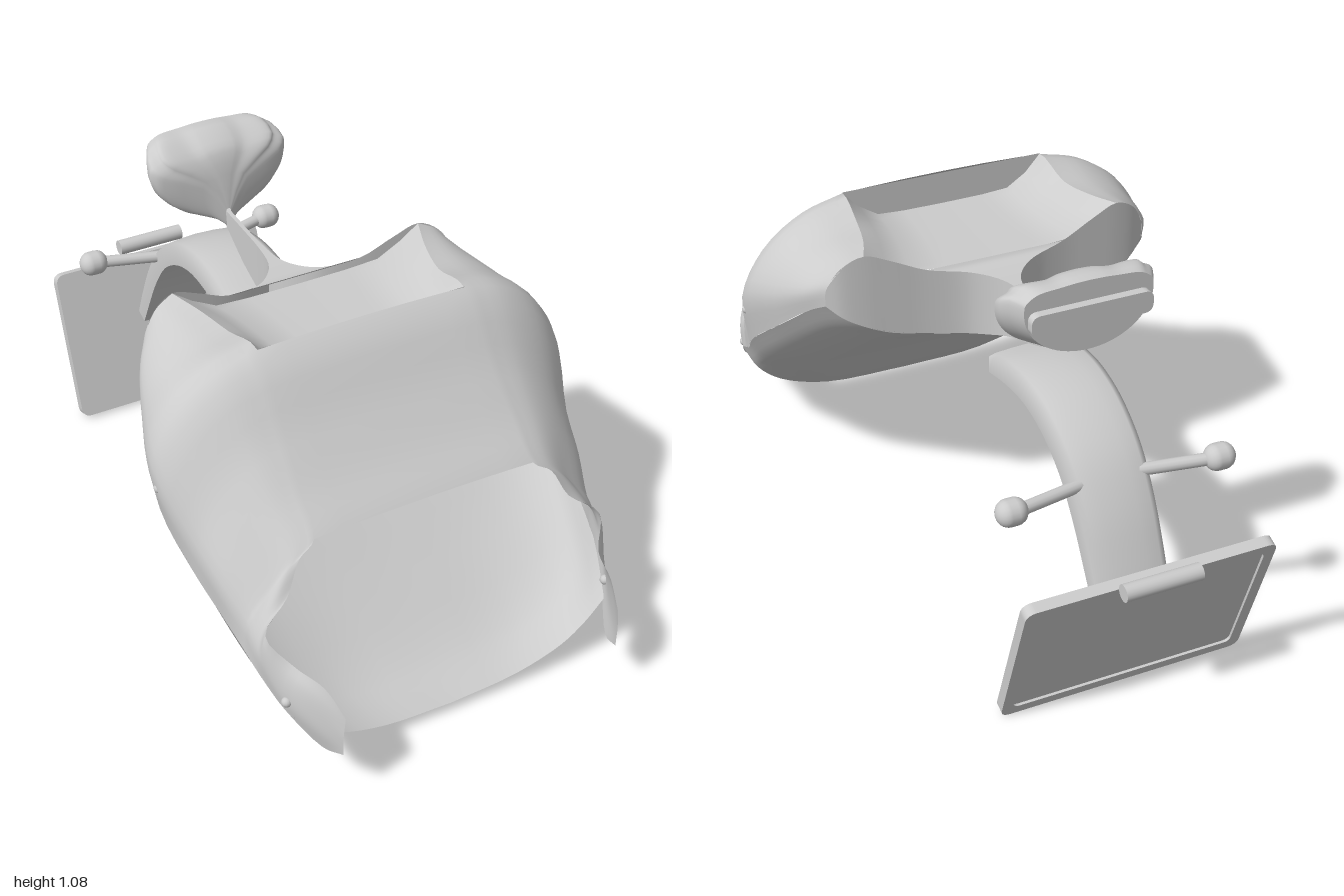
import * as THREE from 'three';
import { mergeGeometries, mergeVertices } from 'three/addons/utils/BufferGeometryUtils.js';

const V = (x, y, z) => new THREE.Vector3(x, y, z);
const flip = p => V(-p.x, p.y, p.z);
const mirrorRow = row => row.map(flip).reverse();
const spline = (pts, k) => new THREE.CatmullRomCurve3(pts, false, 'centripetal').getPoints((pts.length - 1) * k);

// Smooth sheet of points through a few rows of control points
function loft(rows, k = 4) {
  const fine = rows.map(r => spline(r, k));
  const cols = fine[0].map((_, j) => spline(fine.map(r => r[j]), k));
  return cols[0].map((_, i) => cols.map(c => c[i]));
}

// Triangles over a sheet of points
function grid(rows) {
  const n = rows[0].length, index = [];
  for (let i = 0; i < rows.length - 1; i++) {
    for (let j = 0; j < n - 1; j++) {
      const a = i * n + j, b = a + n;
      index.push(a, b, a + 1, a + 1, b, b + 1);
    }
  }
  const g = new THREE.BufferGeometry().setFromPoints(rows.flat());
  g.setIndex(index);
  return g;
}

function smooth(...geos) {
  const g = mergeVertices(mergeGeometries(geos), 1e-4);
  g.computeVertexNormals();
  return g;
}

const section = ([z, ...p]) => p.map(([x, y]) => V(x, y, z));

function roundedRect(C, w, h, r) {
  const s = new C(), x = w / 2, y = h / 2;
  s.moveTo(-x + r, -y);
  s.lineTo(x - r, -y); s.quadraticCurveTo(x, -y, x, -y + r);
  s.lineTo(x, y - r); s.quadraticCurveTo(x, y, x - r, y);
  s.lineTo(-x + r, y); s.quadraticCurveTo(-x, y, -x, y - r);
  s.lineTo(-x, -y + r); s.quadraticCurveTo(-x, -y, -x + r, -y);
  return s;
}

export function createModel() {
  const model = new THREE.Group();
  model.name = 'tailFairing';
  const grey = new THREE.MeshStandardMaterial({ color: 0xcccccc, side: THREE.DoubleSide });
  grey.name = 'bodyGrey';
  const add = (name, geo, parent = model) => {
    const m = new THREE.Mesh(geo, grey);
    m.name = name;
    parent.add(m);
    return m;
  };

  // Upper cover: half sections from the inner edge out to the side seam
  const K = 4;
  const side = loft([
    [V(0.37, 0.935, 0.015), V(0.42, 0.91, 0.025), V(0.45, 0.875, 0.035), V(0.468, 0.84, 0.045), V(0.47, 0.79, 0.05)],
    ...[
      [0.11, [0.335, 0.925], [0.41, 0.905], [0.475, 0.86], [0.51, 0.81], [0.505, 0.75]],
      [0.22, [0.31, 0.92], [0.41, 0.9], [0.5, 0.85], [0.556, 0.76], [0.548, 0.66]],
      [0.36, [0.30, 0.945], [0.42, 0.91], [0.53, 0.83], [0.6, 0.7], [0.582, 0.55]],
      [0.50, [0.30, 0.785], [0.4, 0.755], [0.5, 0.67], [0.56, 0.55], [0.558, 0.435]],
      [0.60, [0.31, 0.675], [0.39, 0.65], [0.47, 0.58], [0.537, 0.48], [0.536, 0.37]],
      [0.69, [0.32, 0.592], [0.38, 0.565], [0.44, 0.5], [0.508, 0.41], [0.52, 0.32]],
      [0.705, [0.37, 0.557], [0.41, 0.525], [0.455, 0.47], [0.508, 0.4], [0.517, 0.31]],
      [0.73, [0.415, 0.475], [0.45, 0.455], [0.482, 0.42], [0.509, 0.37], [0.513, 0.295]],
      [0.765, [0.495, 0.41], [0.502, 0.385], [0.506, 0.355], [0.507, 0.32], [0.502, 0.265]],
      [0.83, [0.452, 0.345], [0.468, 0.32], [0.478, 0.29], [0.482, 0.25], [0.477, 0.21]],
      [0.93, [0.42, 0.34], [0.43, 0.3], [0.435, 0.25], [0.435, 0.2], [0.425, 0.145]],
      [0.998, [0.4, 0.29], [0.402, 0.265], [0.405, 0.23], [0.405, 0.2], [0.405, 0.17]],
    ].map(section),
  ], K);
  const centre = side.slice(3 * K, 6 * K + 1).map(r =>
    [-1, -0.75, -0.4, 0, 0.4, 0.75, 1].map(f => V(r[0].x * f, r[0].y + 0.007 * (1 - f * f), r[0].z)));
  add('upperCover', smooth(grid(side), grid(centre), grid(side.map(mirrorRow))));

  // Rear wall sweeping into the thin spine: x, z, bottom y, top y
  const wall = [
    [0.47, 0.05, 0.79, 0.84], [0.43, 0.028, 0.755, 0.905], [0.37, 0.015, 0.72, 0.935], [0.3, 0.008, 0.69, 0.91],
    [0.2, -0.003, 0.67, 0.865], [0.1, -0.03, 0.66, 0.85], [0.05, -0.07, 0.665, 0.847],
    [0.02, -0.12, 0.68, 0.847], [0.008, -0.2, 0.705, 0.85], [0.006, -0.3, 0.745, 0.855], [0.006, -0.41, 0.815, 0.862],
  ];
  const bottom = spline(wall.map(([x, z, b]) => V(x, b, z)), K);
  const top = spline(wall.map(([x, z, , t]) => V(x, t, z)), K);
  const wallRows = [0, 0.25, 0.5, 0.75, 1].map(f => bottom.map((p, i) => p.clone().lerp(top[i], f)));
  add('rearWallLeft', smooth(grid(wallRows)));
  add('rearWallRight', smooth(grid(wallRows.map(mirrorRow))));
  // flat top of the spine, widening into the well floor
  const spineEdge = top.slice(4 * K);
  add('spineTop', smooth(grid([spineEdge, spineEdge.map(flip)])));

  // Belly tray under the cover, ending on the rear wall's lower edge
  const belly = loft([
    ...[
      [0.86, [0, 0.035], [0.2, 0.048], [0.34, 0.09], [0.41, 0.14], [0.465, 0.2]],
      [0.73, [0, 0.09], [0.25, 0.1], [0.4, 0.15], [0.47, 0.21], [0.513, 0.295]],
      [0.55, [0, 0.23], [0.25, 0.24], [0.42, 0.28], [0.51, 0.34], [0.547, 0.405]],
      [0.36, [0, 0.4], [0.25, 0.41], [0.42, 0.43], [0.53, 0.48], [0.582, 0.55]],
      [0.20, [0, 0.53], [0.2, 0.535], [0.38, 0.56], [0.49, 0.61], [0.543, 0.675]],
      [0.09, [0, 0.6], [0.2, 0.61], [0.34, 0.645], [0.44, 0.695], [0.496, 0.765]],
    ].map(section),
    [V(0, 0.665, -0.09), V(0.1, 0.66, -0.03), V(0.2, 0.67, -0.003), V(0.37, 0.72, 0.015), V(0.47, 0.79, 0.05)],
  ]);
  add('bellyTray', smooth(grid(belly.map(r => [...mirrorRow(r).slice(0, -1), ...r]))));

  // Sunken well behind the cover
  const well = side.slice(0, 3 * K + 1).map(r => {
    const { x, y, z } = r[0];
    const half = [V(0, 0.852, z), V(x * 0.4, 0.853, z), V(x * 0.66, 0.858, z), V(x * 0.85, 0.895, z), V(x, y, z)];
    return [...mirrorRow(half).slice(0, -1), ...half];
  });
  add('well', smooth(grid(well)));
  const lip = well[well.length - 1];
  add('wellFront', smooth(grid([lip, lip.map(p => V(p.x, 0.947, p.z))])));

  // Flared, pleated cup at the end of the spine: z, half width, top y, bottom y, pleat depth
  const cupRows = loft([
    [-0.40, 0.008, 0.87, 0.81, 0], [-0.417, 0.07, 0.97, 0.825, 0.08], [-0.435, 0.18, 1.03, 0.84, 0.13],
    [-0.46, 0.21, 1.055, 0.853, 0.1], [-0.51, 0.197, 1.08, 0.868, 0.06], [-0.555, 0.175, 1.075, 0.88, 0.02],
  ].map(([z, w, t, b, pleat]) => {
    const mid = b + (t - b) * 0.7;
    return Array.from({ length: 49 }, (_, i) => {
      const a = i / 48 * Math.PI * 2, c = Math.cos(a), s = Math.sin(a);
      const fold = c > 0 ? 1 - pleat * (1 - Math.cos(a * 8)) * c : 1;
      const x = w * Math.sign(s) * Math.pow(Math.abs(s), c > 0 ? 0.75 : 1) * fold;
      return V(x, mid + (c > 0 ? (t - mid) * Math.pow(c, 0.5) * fold : (mid - b) * c), z);
    });
  }), 2);
  add('cup', smooth(grid(cupRows)));
  const rim = cupRows[cupRows.length - 1];
  add('cupBack', smooth(grid([rim, rim.map(p => V(p.x * 0.01, 1.0, p.z))])));
  const lensGeo = new THREE.ExtrudeGeometry(roundedRect(THREE.Shape, 0.33, 0.06, 0.025), { depth: 0.03, bevelEnabled: false });
  add('rearLens', lensGeo).position.set(0, 0.99, -0.578);

  // Curved, arched plate hanger: outer z, y then inner z, y
  const hangerPath = [
    [-0.22, 0.71, -0.22, 0.65], [-0.31, 0.732, -0.31, 0.667], [-0.42, 0.738, -0.42, 0.672], [-0.54, 0.712, -0.52, 0.645],
    [-0.66, 0.64, -0.62, 0.58], [-0.75, 0.53, -0.7, 0.48], [-0.82, 0.4, -0.77, 0.36], [-0.87, 0.29, -0.82, 0.27],
  ];
  const outer = spline(hangerPath.map(p => V(0, p[1], p[0])), 4);
  const inner = spline(hangerPath.map(p => V(0, p[3], p[2])), 4);
  const arch = [[-1, 0], [-1, 0.8], [-0.85, 0.9], [-0.45, 0.97], [0, 1], [0.45, 0.97], [0.85, 0.9], [1, 0.8], [1, 0]];
  const hangerRows = outer.map((o, i) => {
    const w = 0.118 - 0.02 * i / (outer.length - 1);
    return arch.map(([f, h]) => inner[i].clone().lerp(o, h).setX(w * f));
  });
  const last = arch.length - 1;
  add('plateHanger', smooth(grid(hangerRows)));
  add('hangerUnderside', smooth(grid(hangerRows.map(r => [r[last], r[0]]))));
  [hangerRows[0], hangerRows[hangerRows.length - 1]].forEach((r, i) =>
    add('hangerEnd' + (i + 1), smooth(grid([r, r.map(p => r[0].clone().setX(p.x))]))));

  // Tilted plate with a raised border on its back
  const plate = new THREE.Group();
  plate.name = 'plate';
  plate.position.set(0, 0.23, -0.855);
  plate.rotation.x = -0.325;
  model.add(plate);
  const panel = new THREE.ExtrudeGeometry(roundedRect(THREE.Shape, 0.69, 0.465, 0.03), { depth: 0.024, bevelEnabled: false });
  add('platePanel', panel, plate).position.z = -0.009;
  const frame = roundedRect(THREE.Shape, 0.69, 0.465, 0.03);
  frame.holes.push(roundedRect(THREE.Path, 0.63, 0.405, 0.02));
  add('plateBorder', new THREE.ExtrudeGeometry(frame, { depth: 0.007, bevelEnabled: false }), plate).position.z = -0.016;
  const lamp = add('plateLamp', new THREE.CylinderGeometry(0.023, 0.023, 0.21, 20));
  lamp.rotation.z = Math.PI / 2;
  lamp.position.set(0, 0.457, -0.976);

  // Paired side lamps on stalks, and cover screws
  for (const s of [1, -1]) {
    const tag = s > 0 ? 'Left' : 'Right';
    const stalk = new THREE.LineCurve3(V(0.07 * s, 0.578, -0.685), V(0.27 * s, 0.588, -0.732));
    add('lampStalk' + tag, new THREE.TubeGeometry(stalk, 1, 0.017, 12));
    const knob = add('sideLamp' + tag, new THREE.CapsuleGeometry(0.032, 0.02, 6, 18));
    knob.rotation.z = Math.PI / 2;
    knob.scale.set(1.12, 1, 1.12);
    knob.position.set(0.288 * s, 0.59, -0.733);
    [[0.59, 0.635, 0.38], [0.477, 0.245, 0.84]].forEach(([x, y, z], i) => {
      add('screw' + tag + (i + 1), new THREE.SphereGeometry(0.014, 12, 8)).position.set(x * s, y, z);
    });
  }
  return model;
}
